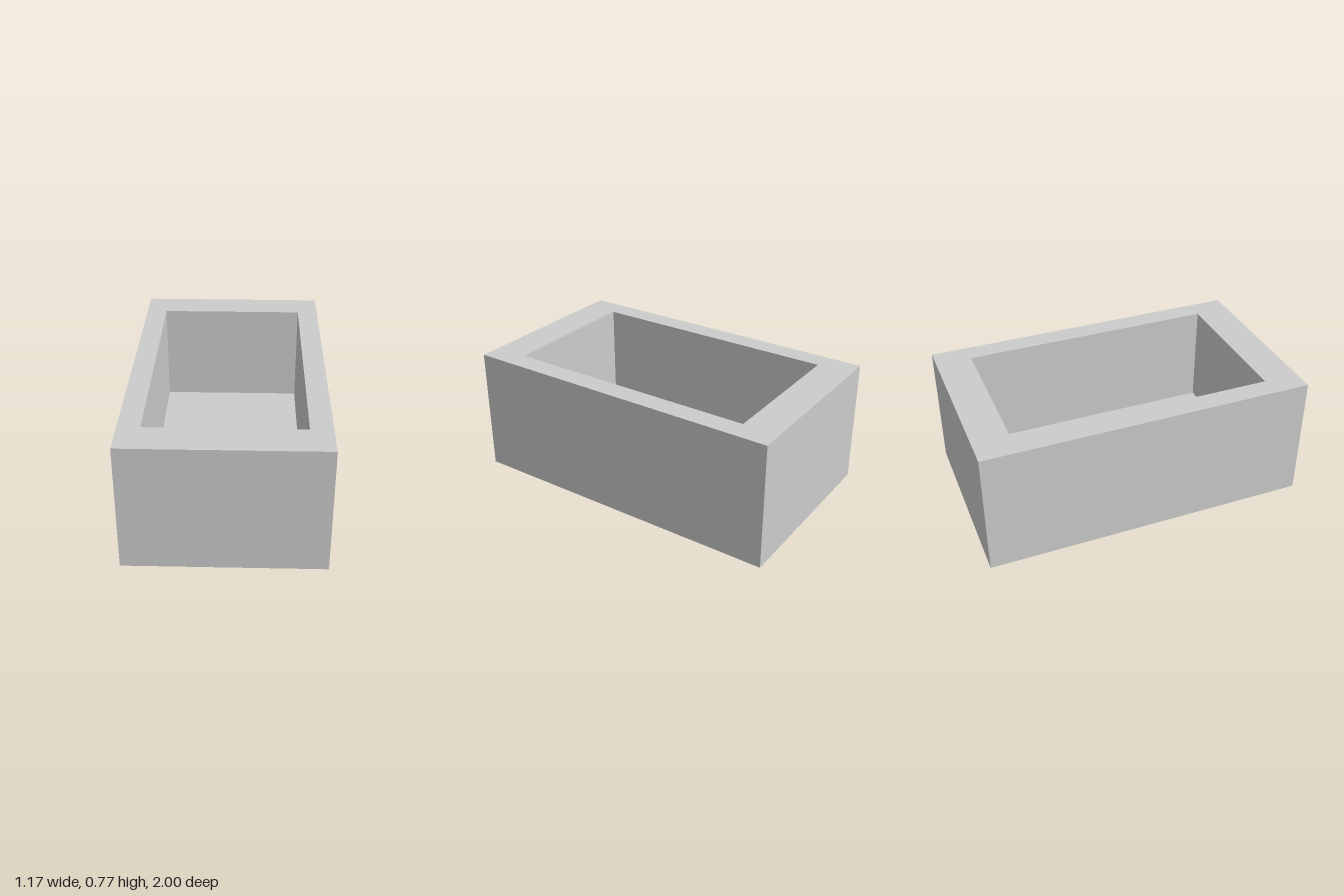
import * as THREE from 'three';

// Rectangular sections, followed from the underside up, over the rim and down to the cavity floor
const SECTIONS = [
  { x: 0.583, z: 1, y: 0 },
  { x: 0.583, z: 1, y: 0.773 },
  { x: 0.453, z: 0.782, y: 0.773 },
  { x: 0.453, z: 0.782, y: 0.136 },
];
const CORNERS = [[-1, 1], [1, 1], [1, -1], [-1, -1]];

function troughGeometry() {
  const positions = [];
  const loops = SECTIONS.map(s => CORNERS.map(([cx, cz]) => [cx * s.x, s.y, cz * s.z]));
  const quad = (a, b, c, d) => positions.push(...a, ...b, ...c, ...a, ...c, ...d);

  // Outer walls, rim and inner walls
  for (let i = 0; i < loops.length - 1; i++) {
    for (let j = 0; j < 4; j++) {
      const k = (j + 1) % 4;
      quad(loops[i][j], loops[i][k], loops[i + 1][k], loops[i + 1][j]);
    }
  }
  // Cavity floor and underside
  quad(...loops[loops.length - 1]);
  quad(...[...loops[0]].reverse());

  const geometry = new THREE.BufferGeometry();
  geometry.setAttribute('position', new THREE.Float32BufferAttribute(positions, 3));
  geometry.computeVertexNormals();
  return geometry;
}

export function createModel() {
  const group = new THREE.Group();
  group.name = 'openBox';
  const material = new THREE.MeshStandardMaterial({ color: 0xcccccc, flatShading: true });
  const trough = new THREE.Mesh(troughGeometry(), material);
  trough.name = 'trough';
  group.add(trough);
  return group;
}
